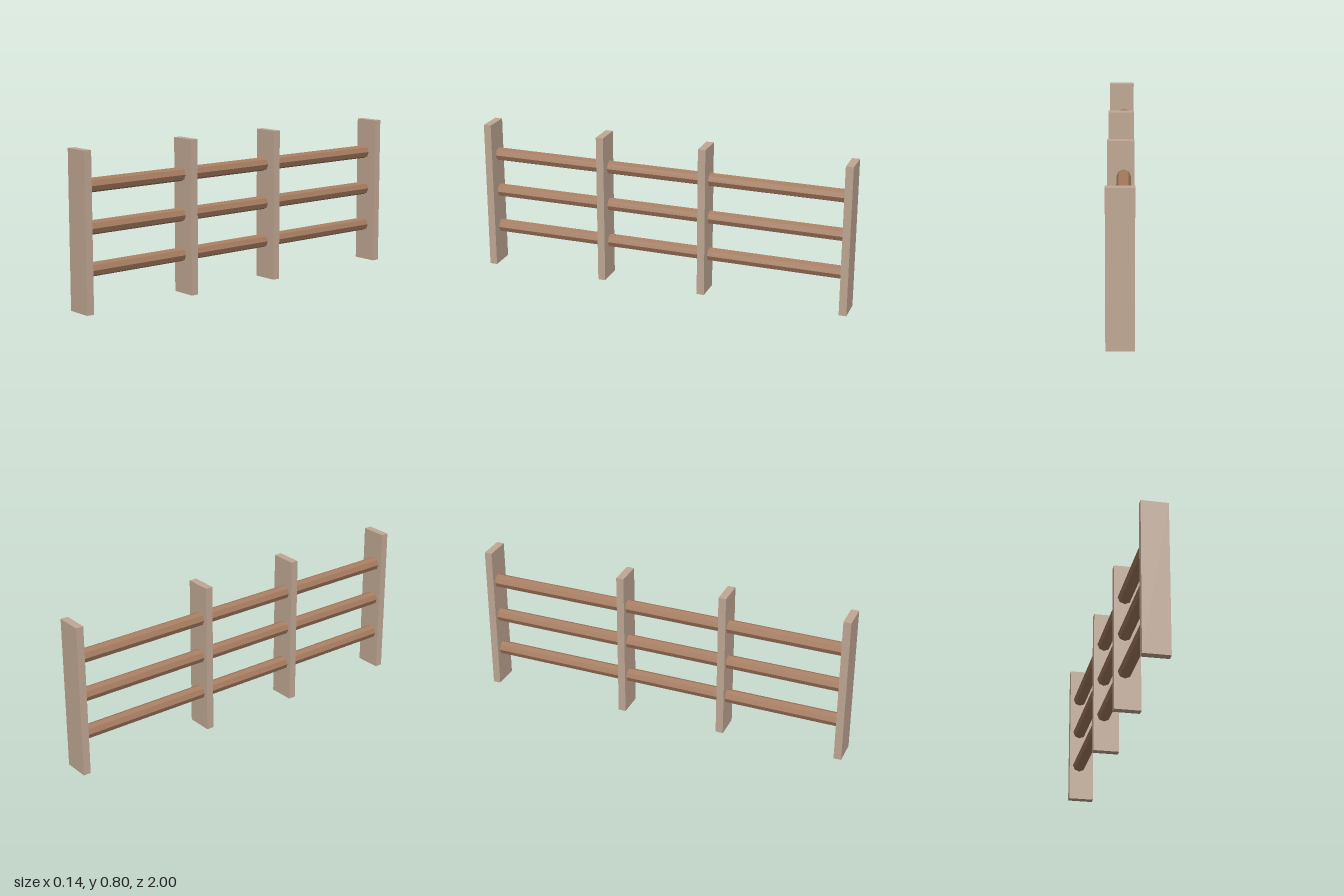
import * as THREE from 'three';

export function createModel() {
  const group = new THREE.Group();
  const postMat = new THREE.MeshStandardMaterial({ color: 0xc0a894, flatShading: true });
  const railMat = new THREE.MeshStandardMaterial({ color: 0xa67c60, flatShading: true });

  // Flat upright posts, unevenly spaced along the fence
  const postGeo = new THREE.BoxGeometry(0.137, 0.797, 0.04);
  [0.98, 0.337, -0.22, -0.98].forEach((z, i) => {
    const post = new THREE.Mesh(postGeo, postMat);
    post.name = `post${i + 1}`;
    post.position.set(0, 0.3985, z);
    group.add(post);
  });

  // Eight-sided rails running through the posts, slightly off centre
  const railGeo = new THREE.CylinderGeometry(0.036, 0.036, 1.94, 8).rotateX(Math.PI / 2);
  [0.202, 0.408, 0.615].forEach((y, i) => {
    const rail = new THREE.Mesh(railGeo, railMat);
    rail.name = `rail${i + 1}`;
    rail.position.set(-0.014, y, 0);
    group.add(rail);
  });

  return group;
}
